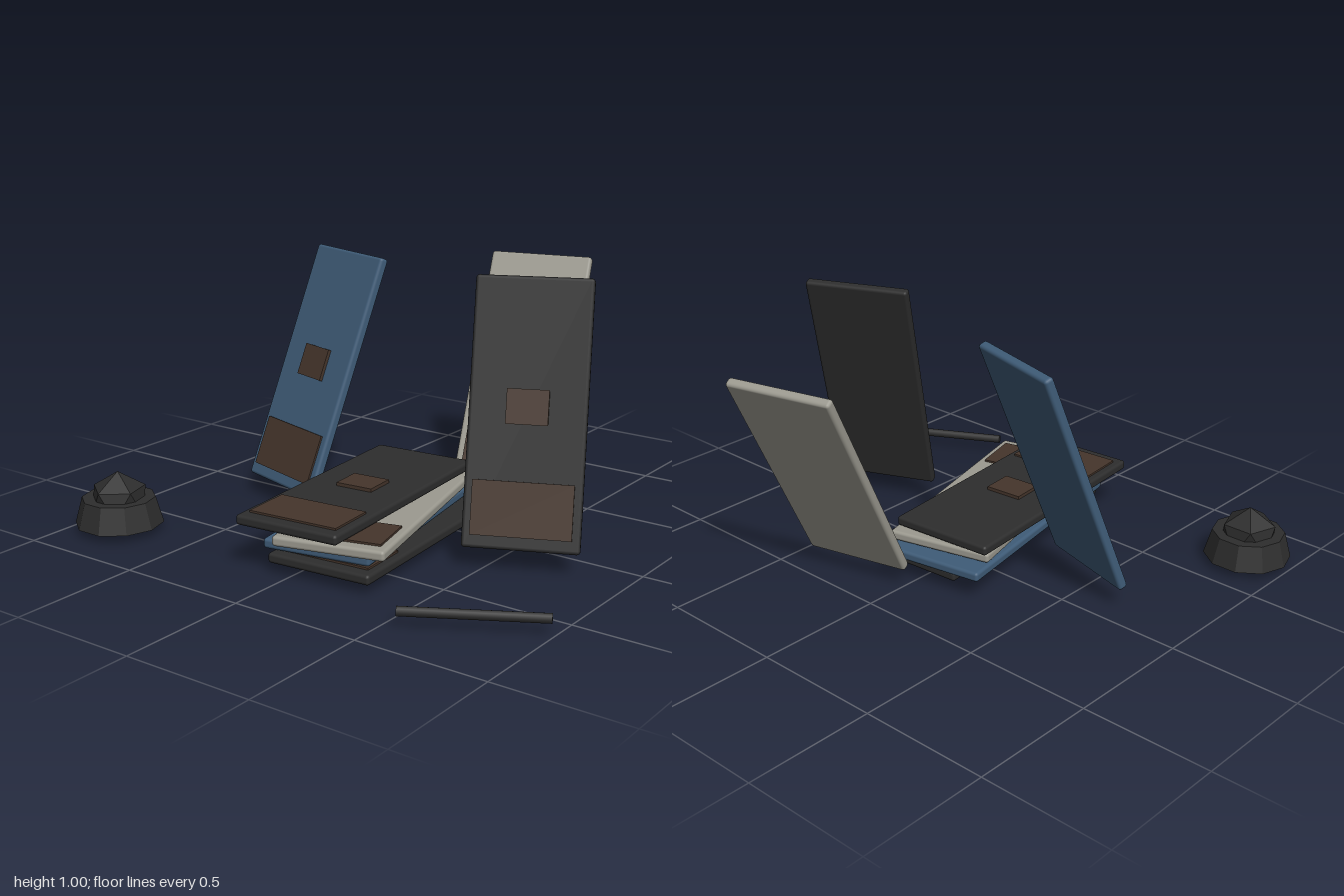
import * as THREE from 'three';
import { RoundedBoxGeometry } from 'three/addons/geometries/RoundedBoxGeometry.js';

const mat = (name, color) => {
  const m = new THREE.MeshStandardMaterial({ color });
  m.name = name;
  return m;
};

export function createModel() {
  const charcoal = mat('charcoal', 0x2d2d2d);
  const blue = mat('slate blue', 0x3f5c78);
  const grey = mat('warm grey', 0x9c9a90);
  const brown = mat('dark brown', 0x45352b);

  const model = new THREE.Group();
  const W = 0.42, T = 0.038, L = 0.963;

  const slabGeo = new RoundedBoxGeometry(W, T, L, 2, 0.012);
  const largeGeo = new THREE.BoxGeometry(0.36, 0.009, 0.195);
  const smallGeo = new THREE.BoxGeometry(0.15, 0.014, 0.125);

  const add = (parent, name, geo, material, x = 0, y = 0, z = 0) => {
    const m = new THREE.Mesh(geo, material);
    m.name = name;
    m.position.set(x, y, z);
    parent.add(m);
    return m;
  };

  // One panel: a rounded slab with a large and a small brown plate on its face
  const panel = (name, material, [x, y, z], yaw, pitch = 0) => {
    const g = new THREE.Group();
    g.name = name;
    add(g, 'slab', slabGeo, material);
    add(g, 'largePlate', largeGeo, brown, 0, T / 2 + 0.003, 0.338);
    add(g, 'smallPlate', smallGeo, brown, 0, T / 2 + 0.006, -0.022);
    g.rotation.set(pitch, yaw, 0, 'YXZ');
    g.position.set(x, y, z);
    model.add(g);
  };

  // Stack lying flat, from the ground up
  panel('stackPanel1', charcoal, [0.083, 0.028, 0.238], 0.078);
  panel('stackPanel2', blue, [0.005, 0.071, 0.21], 0.17);
  panel('stackPanel3', grey, [0.053, 0.116, 0.26], 0.25);
  panel('stackPanel4', charcoal, [-0.028, 0.16, 0.28], 0.088);

  // Leaning panels, large plate at the foot
  const q = Math.PI / 2;
  panel('leaningBluePanel', blue, [-0.455, 0.5, -0.01], -0.277, q - 0.38);
  panel('leaningGreyPanel', grey, [0.137, 0.471, -0.594], 0.245, q - 0.51);
  panel('leaningCharcoalPanel', charcoal, [0.572, 0.513, 0.088], 0.415, q - 0.295);

  // Faceted pot with a faceted lump set in it
  const pot = new THREE.Group();
  pot.name = 'pot';
  pot.position.set(-0.833, 0, 0.722);
  model.add(pot);
  const base = new THREE.CylinderGeometry(0.139, 0.167, 0.1, 10).toNonIndexed();
  base.computeVertexNormals();
  add(pot, 'potBase', base, charcoal, 0, 0.05, 0).rotation.y = q;
  const lump = new THREE.IcosahedronGeometry(0.114, 0);
  lump.rotateX(-Math.atan((1 + Math.sqrt(5)) / 2)); // one corner straight up
  add(pot, 'lump', lump, charcoal, 0, 0.086, 0);

  // Rod on the ground
  const rodGeo = new THREE.CylinderGeometry(0.018, 0.018, 0.5, 8);
  rodGeo.rotateZ(q);
  add(model, 'rod', rodGeo, charcoal, 0.768, 0.028, 0.722).rotation.y = 0.504;

  return model;
}
